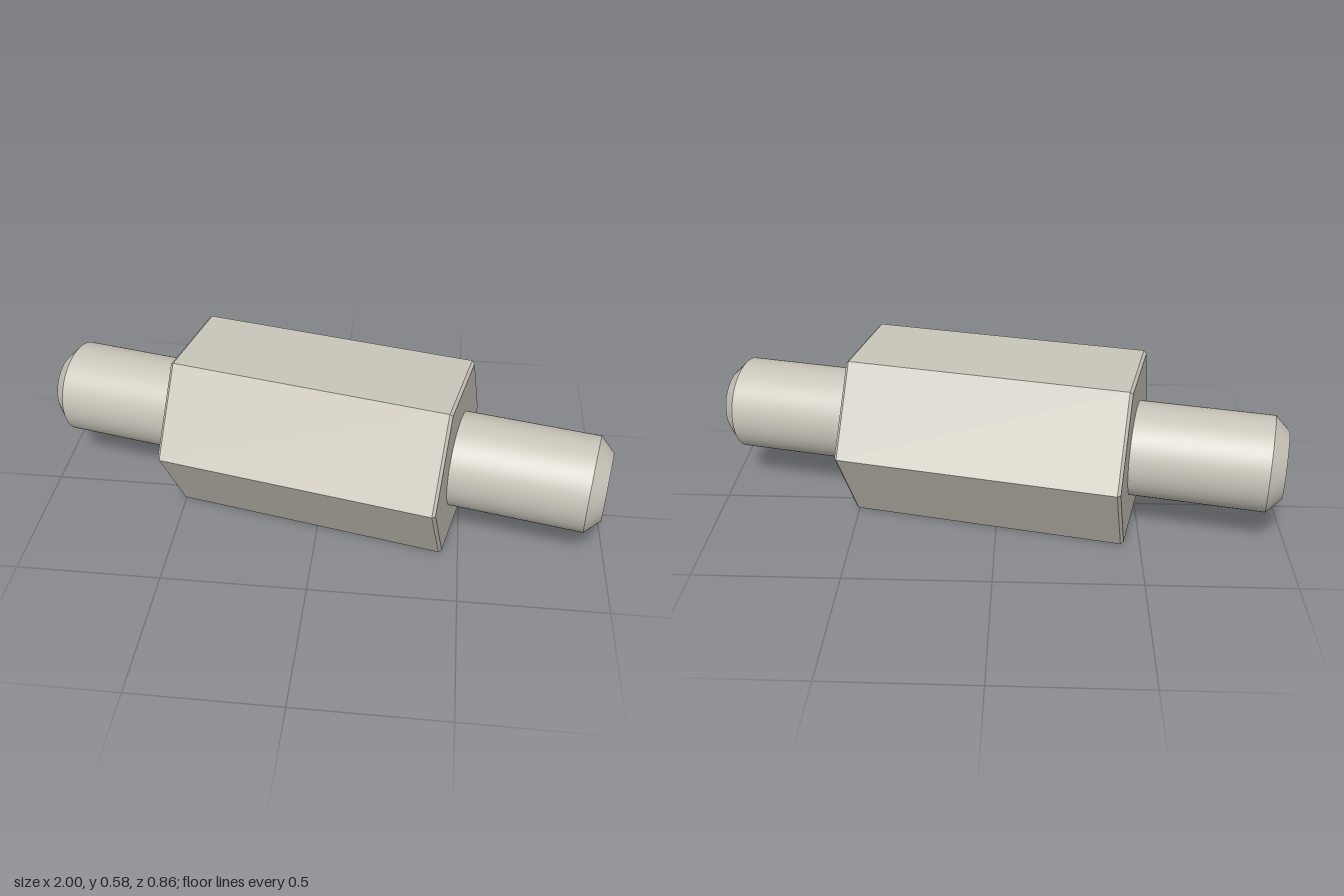
import * as THREE from 'three';
import { toCreasedNormals } from 'three/addons/utils/BufferGeometryUtils.js';

const HALF_LENGTH = 0.998, BODY_HALF = 0.49;
const STUD_RADIUS = 0.165, STUD_CHAMFER = 0.05;
const APOTHEM = 0.2925, HEX_RADIUS = APOTHEM / Math.cos(Math.PI / 6), HEX_CHAMFER = 0.01;

// Turned solid along +x with crisp edges; six sides give a hexagon with corners at +z and -z
function turned(profile, sides) {
  const points = profile.map(([r, s]) => new THREE.Vector2(r, s));
  const geometry = new THREE.LatheGeometry(points, sides).rotateZ(-Math.PI / 2);
  return toCreasedNormals(geometry, Math.PI / 7);
}

export function createModel() {
  const model = new THREE.Group();
  model.name = 'hexStandoff';
  const metal = new THREE.MeshStandardMaterial({ color: 0xc8c4b9 });
  metal.name = 'warm grey metal';

  // Axis at mid height, turned slightly towards the front on the +x side
  const part = new THREE.Group();
  part.name = 'standoff';
  part.position.y = APOTHEM;
  part.rotation.y = -THREE.MathUtils.degToRad(12.05);
  model.add(part);

  // Hexagonal body with a fine chamfer at both ends
  const body = new THREE.Mesh(turned([
    [0, -BODY_HALF],
    [HEX_RADIUS - HEX_CHAMFER, -BODY_HALF],
    [HEX_RADIUS, -BODY_HALF + HEX_CHAMFER],
    [HEX_RADIUS, BODY_HALF - HEX_CHAMFER],
    [HEX_RADIUS - HEX_CHAMFER, BODY_HALF],
    [0, BODY_HALF],
  ], 6), metal);
  body.name = 'hexBody';
  part.add(body);

  // Round chamfered stud on each end
  const studGeometry = turned([
    [STUD_RADIUS, BODY_HALF - 0.01],
    [STUD_RADIUS, HALF_LENGTH - STUD_CHAMFER],
    [STUD_RADIUS - STUD_CHAMFER, HALF_LENGTH],
    [0, HALF_LENGTH],
  ], 64);
  for (const [name, turn] of [['leftStud', 0], ['rightStud', Math.PI]]) {
    const stud = new THREE.Mesh(studGeometry, metal);
    stud.name = name;
    stud.rotation.y = turn;
    part.add(stud);
  }
  return model;
}
